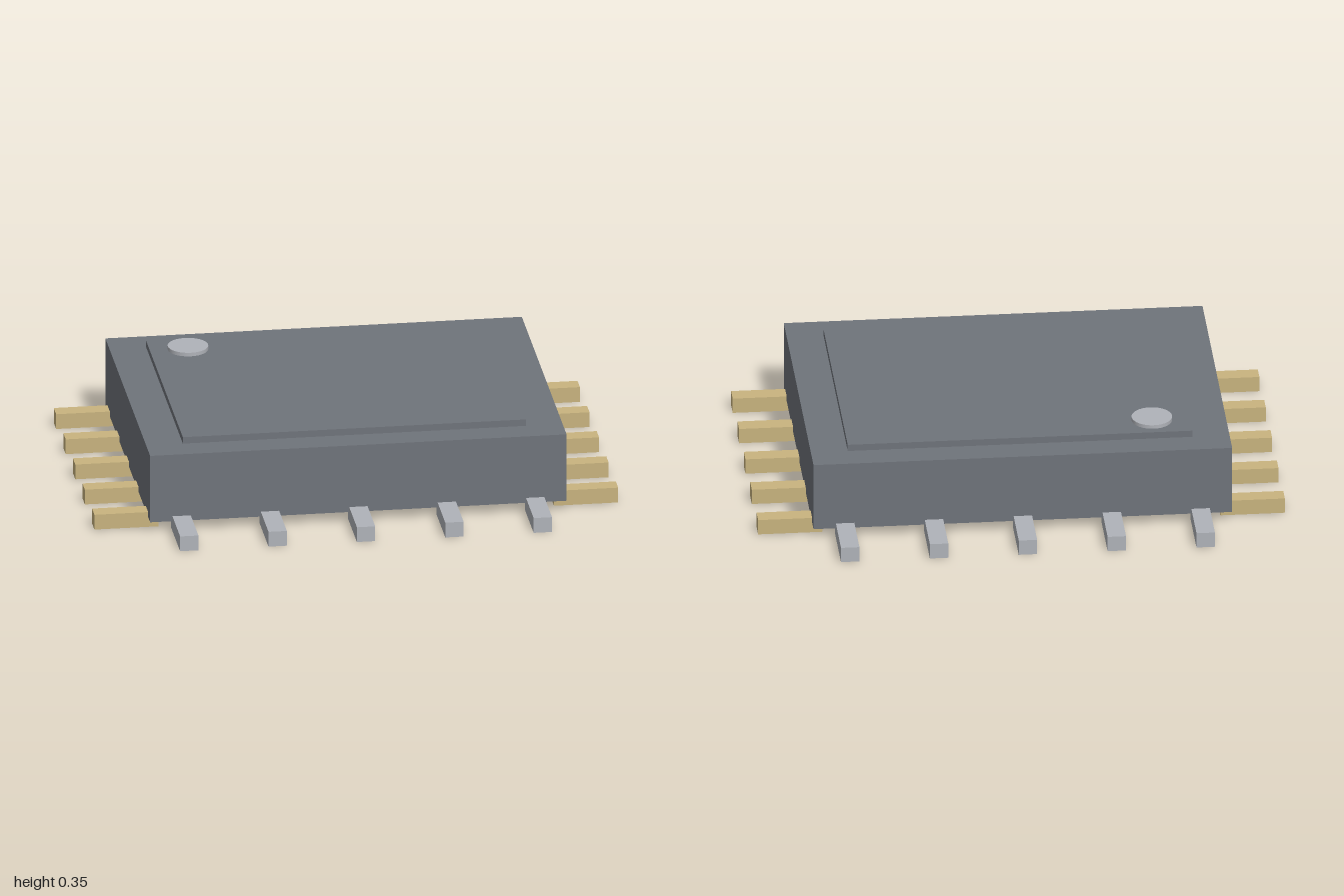
import * as THREE from 'three';

const packageGrey = new THREE.MeshStandardMaterial({ name: 'package grey', color: 0x6f747b });
const silver = new THREE.MeshStandardMaterial({ name: 'silver', color: 0xb0b3b9 });
const gold = new THREE.MeshStandardMaterial({ name: 'gold', color: 0xc9b47f });

const PIN_HEIGHT = 0.06;

export function createModel() {
  const model = new THREE.Group();
  model.name = 'chipPackage';

  const add = (name, geometry, material, x, y, z) => {
    const mesh = new THREE.Mesh(geometry, material);
    mesh.name = name;
    mesh.position.set(x, y, z);
    model.add(mesh);
  };

  // Package block, raised lid and orientation dot
  add('body', new THREE.BoxGeometry(1.59, 0.27, 1.216), packageGrey, 0, 0.175, 0);
  add('lid', new THREE.BoxGeometry(1.31, 0.027, 1), packageGrey, 0, 0.3225, 0);
  add('orientationDot', new THREE.CylinderGeometry(0.077, 0.077, 0.015, 32), silver, -0.51, 0.343, -0.393);

  // Five pins along each edge, their inner ends tucked under the body
  const sidePin = new THREE.BoxGeometry(0.245, PIN_HEIGHT, 0.065);
  const endPin = new THREE.BoxGeometry(0.07, PIN_HEIGHT, 0.242);
  for (const side of [-1, 1]) {
    const label = side > 0 ? 'left' : 'right';
    const endLabel = side > 0 ? 'front' : 'back';
    for (let i = -2; i <= 2; i++) {
      add(`${label}Pin${i + 3}`, sidePin, gold, side * 0.8775, PIN_HEIGHT / 2, i * 0.26);
      add(`${endLabel}Pin${i + 3}`, endPin, silver, i * 0.3375, PIN_HEIGHT / 2, side * 0.696);
    }
  }
  return model;
}
